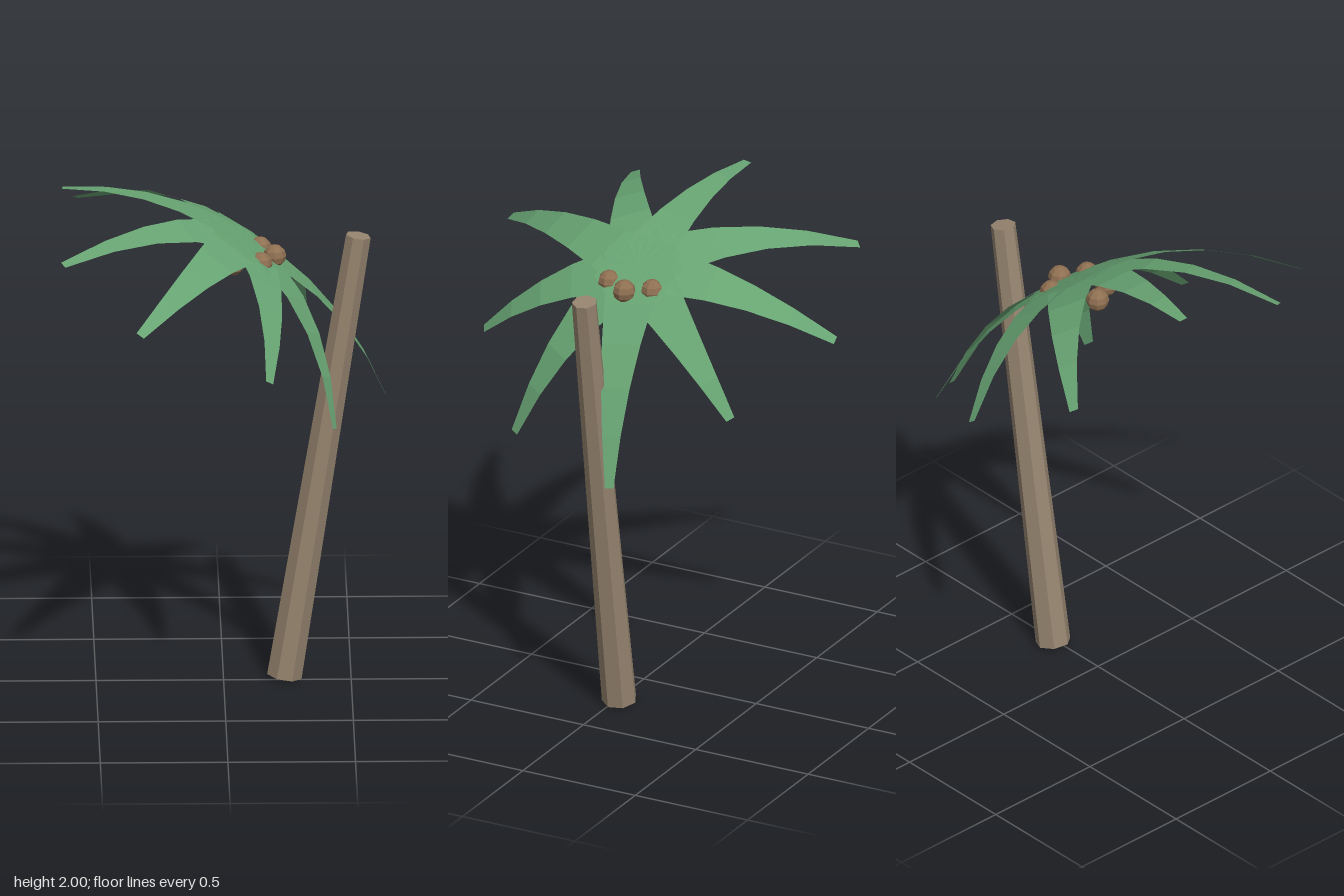
import * as THREE from 'three';

const leafMat = new THREE.MeshStandardMaterial({ color: 0x67a372, side: THREE.DoubleSide, flatShading: true });
leafMat.name = 'leaf green';
const barkMat = new THREE.MeshStandardMaterial({ color: 0x96846f, flatShading: true });
barkMat.name = 'bark brown';
const nutMat = new THREE.MeshStandardMaterial({ color: 0x8f7052, flatShading: true });
nutMat.name = 'nut brown';

// Crown centre and the direction its tilted axis points
const CENTRE = new THREE.Vector3(0.09, 1.81, -0.02);
const AXIS = new THREE.Vector3(0.55, 0.835, 0).normalize();

// A flat tapering ribbon that leaves the crown plane and droops to its tip
function frondGeometry(tip) {
  const reach = tip.clone().sub(CENTRE);
  const droop = reach.dot(AXIS);
  const along = reach.clone().addScaledVector(AXIS, -droop);
  const across = new THREE.Vector3().crossVectors(AXIS, along).normalize();
  const segments = 5, pos = [], idx = [];
  for (let i = 0; i <= segments; i++) {
    const t = i / segments;
    const p = CENTRE.clone().addScaledVector(along, t).addScaledVector(AXIS, droop * t ** 2.2);
    const half = THREE.MathUtils.lerp(0.122, 0.018, t);
    for (const s of [-1, 1]) pos.push(...p.clone().addScaledVector(across, s * half).toArray());
    if (i < segments) {
      const a = i * 2;
      idx.push(a, a + 2, a + 1, a + 1, a + 2, a + 3);
    }
  }
  const g = new THREE.BufferGeometry();
  g.setAttribute('position', new THREE.Float32BufferAttribute(pos, 3));
  g.setIndex(idx);
  g.computeVertexNormals();
  return g;
}

export function createModel() {
  const model = new THREE.Group();
  model.name = 'palmTree';

  // Leaning seven-sided trunk
  const base = new THREE.Vector3(0.238, 0.011, -0.02);
  const top = new THREE.Vector3(0.528, 1.83, -0.02);
  const lean = top.clone().sub(base);
  const trunk = new THREE.Mesh(
    new THREE.CylinderGeometry(0.05, 0.07, lean.length(), 7).rotateY(Math.PI), barkMat);
  trunk.name = 'trunk';
  trunk.position.copy(base).add(top).multiplyScalar(0.5);
  trunk.rotation.z = -Math.atan2(lean.x, lean.y);
  model.add(trunk);

  // Nine fronds, given by their tips
  const tips = [
    [-0.125, 1.57, -0.785], [0.325, 1.36, -0.56], [0.64, 1.11, -0.19],
    [0.43, 1.155, 0.345], [0.17, 1.44, 0.62], [-0.34, 1.69, 0.775],
    [-0.635, 1.85, 0.38], [-0.63, 2.0, -0.122], [-0.57, 1.78, -0.65],
  ];
  const fronds = new THREE.Group();
  fronds.name = 'fronds';
  for (const t of tips) {
    const frond = new THREE.Mesh(frondGeometry(new THREE.Vector3(...t)), leafMat);
    frond.name = 'frond';
    fronds.add(frond);
  }
  model.add(fronds);

  // Ring of six nuts under the crown
  const nuts = new THREE.Group();
  nuts.name = 'coconuts';
  const nutGeo = new THREE.SphereGeometry(0.046, 8, 6);
  for (let i = 0; i < 6; i++) {
    const a = (i / 6) * Math.PI * 2;
    const nut = new THREE.Mesh(nutGeo, nutMat);
    nut.name = 'coconut';
    nut.position.set(0.09 + 0.11 * Math.cos(a), 1.748, -0.02 + 0.11 * Math.sin(a));
    nuts.add(nut);
  }
  model.add(nuts);

  return model;
}
